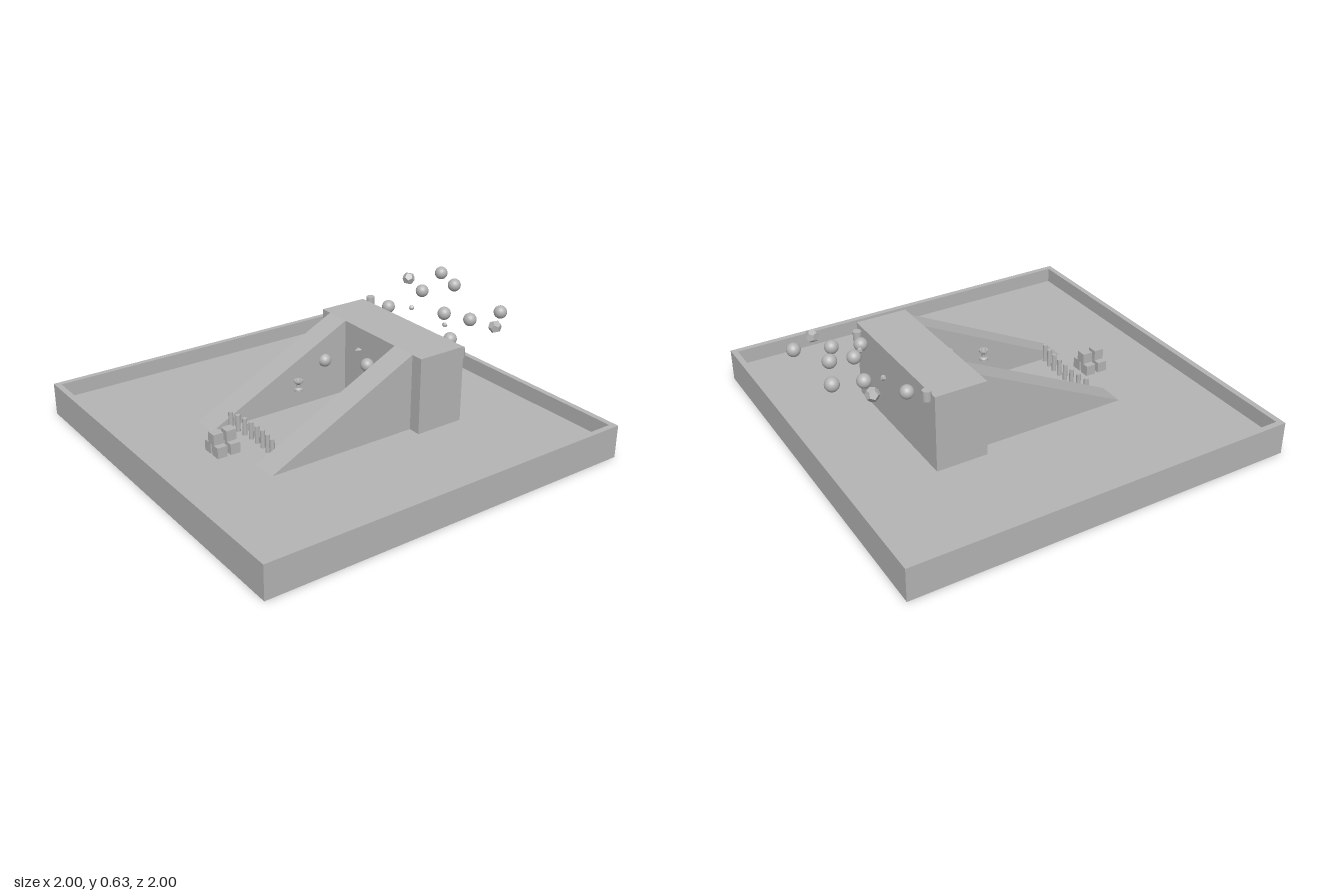
import * as THREE from 'three';

const FLOOR = 0.09, TOP = 0.485;

export function createModel() {
  const model = new THREE.Group();
  const stone = new THREE.MeshStandardMaterial({ color: 0xb4b4b4 });
  stone.name = 'plainGrey';
  const faceted = stone;

  function add(name, geometry, x = 0, y = 0, z = 0) {
    const mesh = new THREE.Mesh(geometry, faceted);
    mesh.name = name;
    mesh.position.set(x, y, z);
    model.add(mesh);
    return mesh;
  }

  // box given by its lower and upper limits
  function block(name, x0, x1, y0, y1, z0, z1) {
    return add(name, new THREE.BoxGeometry(x1 - x0, y1 - y0, z1 - z0),
      (x0 + x1) / 2, (y0 + y1) / 2, (z0 + z1) / 2);
  }

  const square = (Type, s) => new Type([[-s, -s], [s, -s], [s, s], [-s, s]]
    .map(([x, y]) => new THREE.Vector2(x, y)));

  // tray: raised rim around a sunken floor
  const rimShape = square(THREE.Shape, 1);
  rimShape.holes.push(square(THREE.Path, 0.97));
  const rim = new THREE.ExtrudeGeometry(rimShape, { depth: 0.17, bevelEnabled: false });
  rim.rotateX(-Math.PI / 2);
  add('trayRim', rim);
  block('trayFloor', -0.97, 0.97, 0, FLOOR, -0.97, 0.97);

  // rear block with a sloping wall on each side of the court
  block('rearBlock', -0.4, 0.4, FLOOR, TOP, -0.535, -0.27);
  const slope = new THREE.Shape([[-0.53, FLOOR], [0.27, FLOOR], [0.27, TOP]]
    .map(([a, b]) => new THREE.Vector2(a, b)));
  for (const x of [-0.335, 0.2]) {
    const wedge = new THREE.ExtrudeGeometry(slope, { depth: 0.135, bevelEnabled: false });
    wedge.rotateY(Math.PI / 2);
    add('slopingWall', wedge, x);
  }

  // floating balls behind the block and inside the court
  const ball = new THREE.SphereGeometry(0.034, 24, 16);
  for (const [x, y, z] of [
    [-0.24, 0.595, -0.94], [-0.055, 0.595, -0.87], [0.24, 0.525, -0.925],
    [-0.2, 0.54, -0.775], [0.06, 0.51, -0.705], [0.2, 0.51, -0.755],
    [-0.27, 0.467, -0.605], [0.24, 0.457, -0.59],
    [0.05, 0.343, -0.22], [-0.2, 0.3, -0.14], [0.2, 0.29, -0.14],
  ]) add('ball', ball, x, y, z);

  // rough lumps and small chips
  for (const [x, y, z, r] of [
    [-0.35, 0.56, -0.805, 0.034], [0.345, 0.51, -0.79, 0.034],
    [-0.14, 0.488, -0.655, 0.014], [0.14, 0.488, -0.64, 0.014],
  ]) add('lump', new THREE.DodecahedronGeometry(r), x, y, z).rotation.set(0.4, x, 0.3);

  // short cylinders at the rear corners
  const stub = new THREE.CylinderGeometry(0.022, 0.022, 0.05, 20);
  add('rearStub', stub, -0.36, 0.482, -0.553);
  add('rearStub', stub, 0.36, 0.437, -0.553);

  // flat spike on the court's back wall
  const spike = add('wallSpike', new THREE.ConeGeometry(0.02, 0.03, 16), -0.08, 0.37, -0.257);
  spike.rotation.x = Math.PI / 2;
  spike.scale.z = 0.35;

  // waisted cups beside the walls
  const cup = new THREE.LatheGeometry([
    [0, 0], [0.021, 0], [0.021, 0.012], [0.01, 0.02], [0.01, 0.037],
    [0.023, 0.05], [0.023, 0.06], [0.013, 0.06], [0.008, 0.045], [0, 0.045],
  ].map(([r, y]) => new THREE.Vector2(r, y)), 20).toNonIndexed();
  cup.computeVertexNormals();
  add('cup', cup, -0.167, 0.19, 0.045);
  add('cup', cup, 0.167, 0.217, 0.045);

  // gently curved row of posts across the entrance
  for (let i = 0; i < 8; i++) {
    const t = (i - 3.5) / 3.5, top = 0.175 + 0.0015 * i;
    add('post', new THREE.CylinderGeometry(0.012, 0.012, top - FLOOR, 16),
      -0.003 + 0.186 * t, (top + FLOOR) / 2, 0.412 + 0.018 * t * t);
  }

  // two small stacks of three cubes
  for (const z of [0.552, 0.622]) {
    for (const [x, y] of [[-0.036, FLOOR], [0.03, FLOOR], [-0.003, 0.145]])
      block('cube', x - 0.026, x + 0.026, y, y + 0.055, z - 0.026, z + 0.026);
  }

  return model;
}
